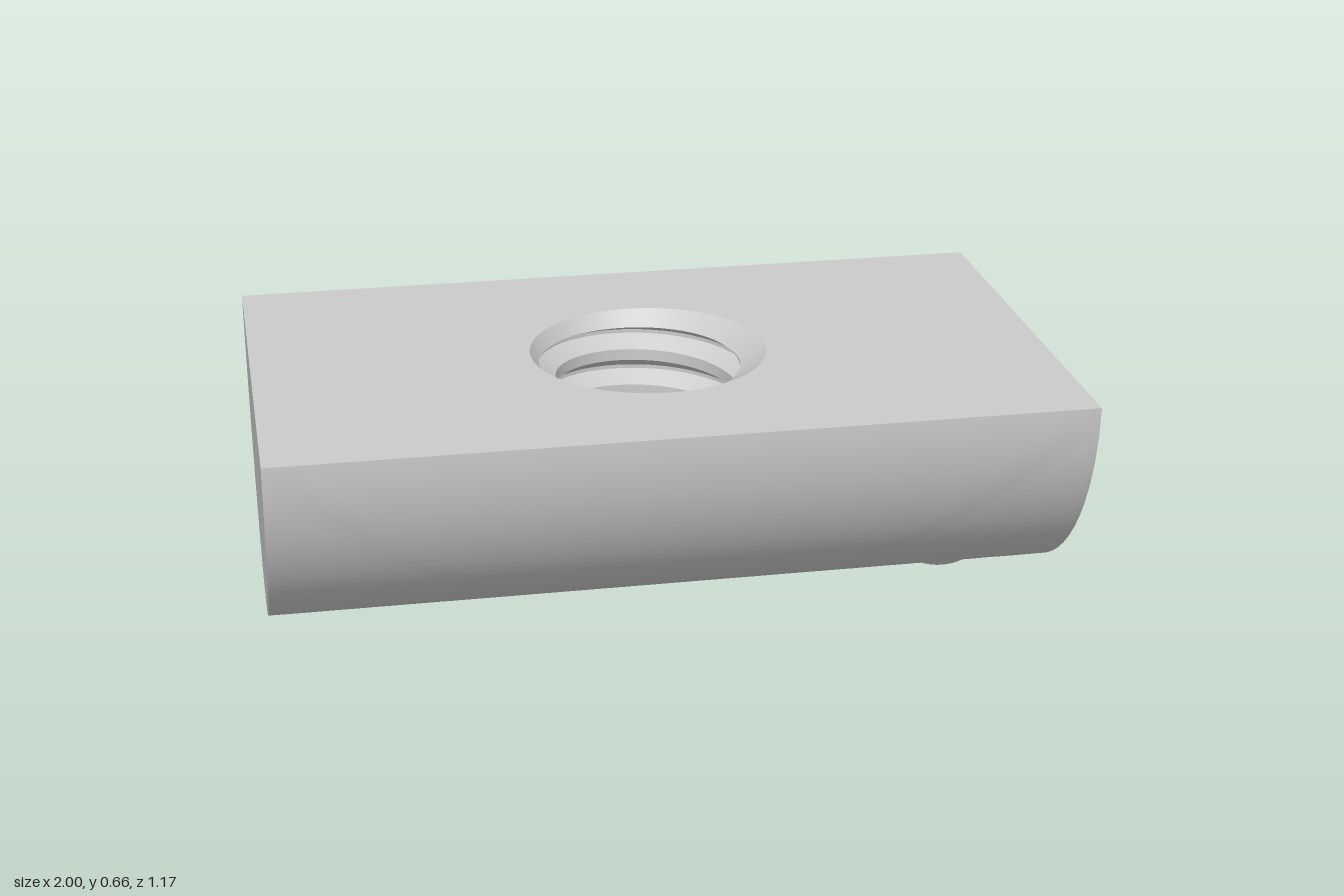
import * as THREE from 'three';
import { toCreasedNormals } from 'three/addons/utils/BufferGeometryUtils.js';

const TOP = 0.66, HALF_LEN = 1, HALF_WIDTH = 0.585, DEPTH = 0.6;
const COLS = 144;
const RIM = 0.3, CHAMFER_Y = 0.62;                        // countersink
const MINOR = 0.235, MAJOR = 0.28, PITCH = 0.1, START = 0.015; // thread
const TAU = Math.PI * 2;

// Underside height at a given z
const undersideY = (z) => TOP - DEPTH * Math.sqrt(Math.max(0, 1 - (z / HALF_WIDTH) ** 2));

// Radius of the helical thread: flat crest, flank, narrow root, flank
function threadRadius(theta, y) {
  let t = (y - START) / PITCH - theta / TAU;
  t -= Math.floor(t);
  let k = 0;
  if (t > 0.7) k = (1 - t) / 0.3;
  else if (t > 0.6) k = 1;
  else if (t > 0.3) k = (t - 0.3) / 0.3;
  return MINOR + (MAJOR - MINOR) * k;
}

// Height at which the hole wall meets the curved underside
function holeBottom(theta) {
  let y = 0.09;
  for (let i = 0; i < 25; i++) y = undersideY(threadRadius(theta, y) * Math.sin(theta));
  return y;
}

const polar = (r, theta, y) => new THREE.Vector3(r * Math.cos(theta), y, -r * Math.sin(theta));

// Direction mapped onto the unit square, so the outline reaches its corners
function onSquare(theta) {
  const c = Math.cos(theta), s = Math.sin(theta), m = Math.max(Math.abs(c), Math.abs(s));
  return [c / m, -s / m];
}

// Surface from rows of points; point(row, theta) gives a Vector3
function surface(rows, point, crease = 0.45) {
  const grid = rows.map((row) =>
    Array.from({ length: COLS + 1 }, (_, j) => point(row, (j / COLS) * TAU)));
  const out = [];
  const tri = new THREE.Triangle();
  const add = (a, b, c) => {
    if (tri.set(a, b, c).getArea() > 1e-9) out.push(a, b, c);
  };
  for (let i = 0; i < grid.length - 1; i++) {
    for (let j = 0; j < COLS; j++) {
      const a = grid[i][j], b = grid[i][j + 1], c = grid[i + 1][j], d = grid[i + 1][j + 1];
      add(a, b, c);
      add(b, d, c);
    }
  }
  return toCreasedNormals(new THREE.BufferGeometry().setFromPoints(out), crease);
}

export function createModel() {
  const group = new THREE.Group();
  const material = new THREE.MeshStandardMaterial({ color: 0xcccccc });
  const add = (name, geometry) => {
    const mesh = new THREE.Mesh(geometry, material);
    mesh.name = name;
    group.add(mesh);
    return mesh;
  };

  // Flat top with the round opening
  add('topFace', surface([0, 1], (t, theta) => {
    const [x, z] = onSquare(theta);
    return new THREE.Vector3(x * HALF_LEN, TOP, z * HALF_WIDTH).lerp(polar(RIM, theta, TOP), t);
  }));

  // Countersink down to the thread
  add('countersink', surface([0, 1], (t, theta) => (t
    ? polar(threadRadius(theta, CHAMFER_Y), theta, CHAMFER_Y)
    : polar(RIM, theta, TOP))));

  // Threaded hole, its rows following the helix
  const turns = [];
  for (let m = 7; m >= -2; m--) for (const phase of [0.7, 0.6, 0.3, 0]) turns.push(m + phase);
  add('threadedHole', surface(turns, (turn, theta) => {
    const y = THREE.MathUtils.clamp(
      START + PITCH * (turn + theta / TAU), holeBottom(theta), CHAMFER_Y);
    return polar(threadRadius(theta, y), theta, y);
  }));

  // Rounded underside, spread from the hole edge to the outline
  const steps = Array.from({ length: 31 }, (_, i) => i / 30);
  add('roundedUnderside', surface(steps, (t, theta) => {
    const y = holeBottom(theta);
    const edge = polar(threadRadius(theta, y), theta, y);
    const [sx, sz] = onSquare(theta);
    const x = THREE.MathUtils.lerp(edge.x, sx * HALF_LEN, t);
    const a = THREE.MathUtils.lerp(Math.asin(edge.z / HALF_WIDTH), sz * Math.PI / 2, t);
    return new THREE.Vector3(x, TOP - DEPTH * Math.cos(a), HALF_WIDTH * Math.sin(a));
  }, 0.8));

  // Half-round end faces
  const profile = new THREE.Shape();
  profile.absellipse(0, TOP, HALF_WIDTH, DEPTH, Math.PI, TAU, false, 0);
  for (const side of [1, -1]) {
    const end = new THREE.ShapeGeometry(profile, 64).rotateY(side * Math.PI / 2);
    add(side > 0 ? 'leftEnd' : 'rightEnd', end).position.x = side * HALF_LEN;
  }

  // Locating ball below the left end
  add('locatingBall', new THREE.SphereGeometry(0.16, 48, 24, 0, TAU, Math.PI * 0.5, Math.PI * 0.5))
    .position.set(0.785, 0.16, 0);

  return group;
}
